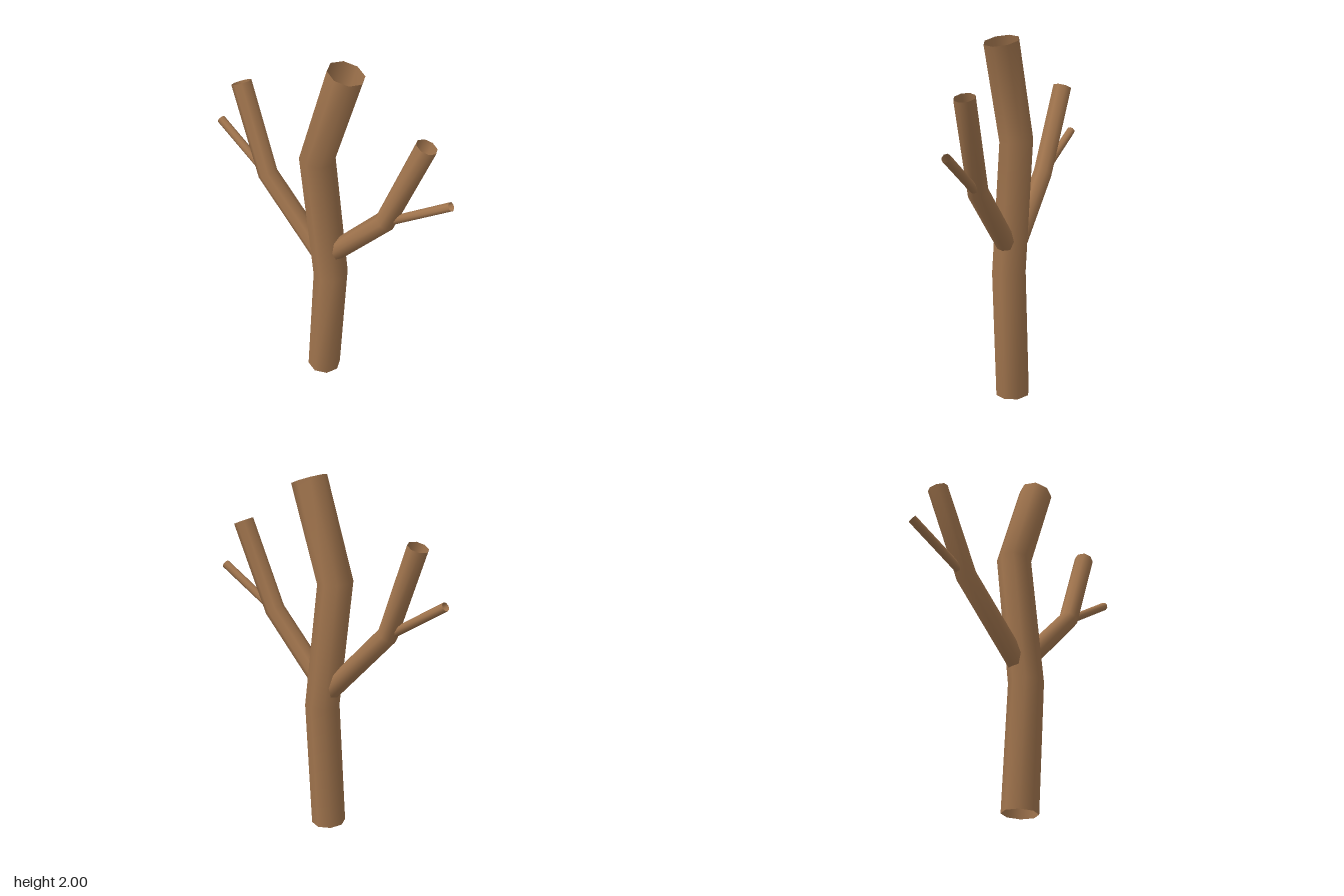
import * as THREE from 'three';

const SIDES = 8;

// Open eight-sided tube along a bent path, one ring per point
function limb(name, path, radius, material) {
  const pts = path.map((p) => new THREE.Vector3(...p));
  const positions = [], index = [];
  pts.forEach((p, i) => {
    const tangent = new THREE.Vector3();
    if (i > 0) tangent.add(p.clone().sub(pts[i - 1]).normalize());
    if (i < pts.length - 1) tangent.add(pts[i + 1].clone().sub(p).normalize());
    tangent.normalize();
    const v = new THREE.Vector3(0, 0, 1).addScaledVector(tangent, -tangent.z).normalize();
    const u = new THREE.Vector3().crossVectors(tangent, v);
    for (let s = 0; s < SIDES; s++) {
      const a = (s / SIDES) * Math.PI * 2;
      const q = p.clone()
        .addScaledVector(u, Math.cos(a) * radius)
        .addScaledVector(v, -Math.sin(a) * radius);
      positions.push(q.x, q.y, q.z);
      if (i > 0) {
        const n = (s + 1) % SIDES, lo = (i - 1) * SIDES, hi = i * SIDES;
        index.push(lo + s, lo + n, hi + n, lo + s, hi + n, hi + s);
      }
    }
  });
  const geometry = new THREE.BufferGeometry();
  geometry.setAttribute('position', new THREE.Float32BufferAttribute(positions, 3));
  geometry.setIndex(index);
  geometry.computeVertexNormals();
  const mesh = new THREE.Mesh(geometry, material);
  mesh.name = name;
  return mesh;
}

export function createModel() {
  const tree = new THREE.Group();
  tree.name = 'bareTree';
  const bark = new THREE.MeshStandardMaterial({ color: 0xa0744d, side: THREE.DoubleSide });
  bark.name = 'bark';

  // Crooked trunk
  tree.add(limb('trunk', [[0, 0.007, 0], [0.045, 0.725, 0], [-0.045, 1.44, 0], [0.13, 1.97, 0]], 0.097, bark));

  // Matching branch and twig on each side
  for (const [side, x] of [['left', 1], ['right', -1]]) {
    tree.add(limb(side + 'Branch', [[0, 0.81, 0], [x * 0.388, 1.217, 0], [x * 0.578, 1.705, -0.035]], 0.056, bark));
    tree.add(limb(side + 'Twig', [[x * 0.388, 1.212, 0], [x * 0.74, 1.435, -0.026]], 0.024, bark));
  }
  return tree;
}
